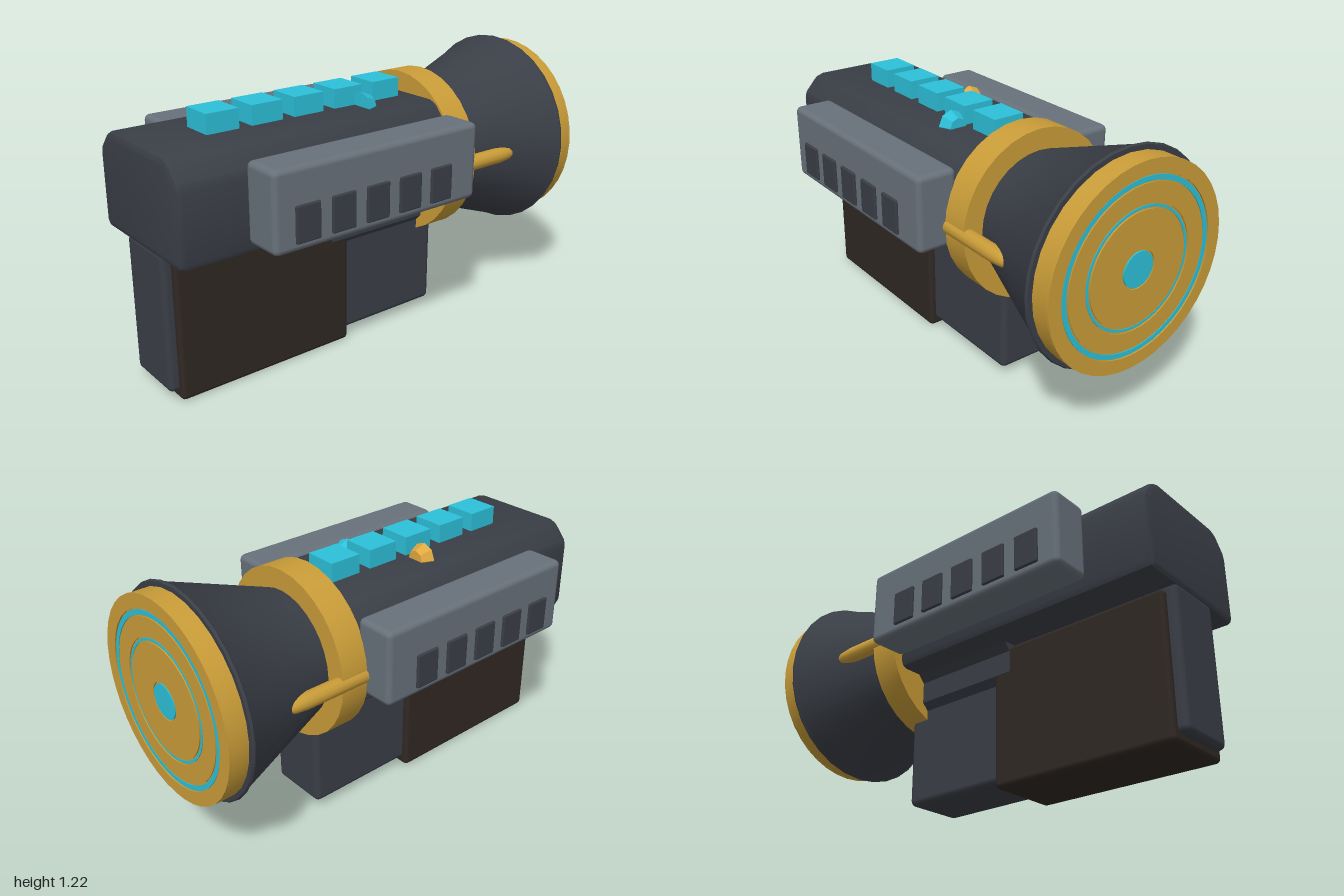
import * as THREE from 'three';
import { RoundedBoxGeometry } from 'three/addons/geometries/RoundedBoxGeometry.js';
import { toCreasedNormals } from 'three/addons/utils/BufferGeometryUtils.js';

const AXIS_Y = 0.76; // height of the barrel axis

export function createModel() {
  const model = new THREE.Group();
  model.name = 'blaster';
  const paint = (color) => new THREE.MeshStandardMaterial({ color });
  const dark = paint(0x3a3e46), grey = paint(0x68717a), gold = paint(0xc99c38);
  const cyan = paint(0x2dc0da), brown = paint(0x302824), amber = paint(0xe0a840);

  const add = (name, geometry, material, x = 0, y = 0, z = 0, parent = model) => {
    const mesh = new THREE.Mesh(geometry, material);
    mesh.name = name;
    mesh.position.set(x, y, z);
    parent.add(mesh);
    return mesh;
  };

  // Rounded box given by its extents
  const block = (name, material, [x0, x1], [y0, y1], [z0, z1], r, parent = model) =>
    add(name, new RoundedBoxGeometry(x1 - x0, y1 - y0, z1 - z0, 2, r), material,
      (x0 + x1) / 2, (y0 + y1) / 2, (z0 + z1) / 2, parent);

  // Half profile (x >= 0) mirrored and extruded along z, with bevelled ends
  const prism = (name, material, half, z0, z1, bevel) => {
    const mirrored = half.map(([x, y]) => [-x, y]).reverse();
    const shape = new THREE.Shape([...half, ...mirrored].map(([x, y]) => new THREE.Vector2(x, y)));
    const geometry = new THREE.ExtrudeGeometry(shape, {
      depth: z1 - z0 - 2 * bevel, bevelEnabled: bevel > 0,
      bevelThickness: bevel, bevelSize: bevel, bevelOffset: -bevel, bevelSegments: 2,
    });
    return add(name, toCreasedNormals(geometry, 0.6), material, 0, 0, z0 + bevel);
  };

  // Solid of revolution about the barrel axis; profile is [radius, z], running front to back
  const turned = (name, material, profile, segments = 32) => {
    const points = profile.map(([r, z]) => new THREE.Vector2(r, -z));
    const geometry = new THREE.LatheGeometry(points, segments);
    geometry.rotateX(-Math.PI / 2);
    return add(name, toCreasedNormals(geometry, 0.5), material, 0, AXIS_Y, 0);
  };
  const drum = (name, material, r, z0, z1) =>
    turned(name, material, [[0, z1], [r, z1], [r, z0], [0, z0]]);

  // Main body with chamfered shoulders
  prism('body', dark, [
    [0.28, 0.62], [0.3, 0.628], [0.31, 0.65], [0.31, 0.93], [0.302, 0.96],
    [0.25, 1.018], [0.235, 1.03], [0.205, 1.04],
  ], -0.38, 1, 0.025);

  // Handle core, grip cover and the flared rail above them
  block('handleCore', dark, [-0.14, 0.14], [0.035, 0.64], [-0.395, 0.995], 0.025);
  block('grip', brown, [-0.167, 0.167], [0, 0.61], [0.12, 0.955], 0.02);
  prism('underRail', dark, [
    [0.14, 0.46], [0.17, 0.49], [0.17, 0.585], [0.205, 0.625], [0.205, 0.66],
  ], -0.4, 0.21, 0);

  // Barrel collar, flared bell and end cap
  drum('collar', gold, 0.37, -0.43, -0.3);
  turned('bell', dark, [
    [0, -0.4], [0.28, -0.4], [0.28, -0.43], [0.445, -0.895], [0.455, -0.905], [0.45, -0.915], [0, -0.915],
  ]);
  drum('endCap', gold, 0.43, -0.993, -0.9);

  // Concentric rings on the end cap
  const ring = (name, material, inner, outer, depth) => turned(name, material, [
    [inner, -0.99], [outer, -0.99], [outer, -depth], [inner, -depth], [inner, -0.99],
  ], 40);
  ring('capRim', gold, 0.37, 0.43, 1);
  ring('outerGlowRing', cyan, 0.345, 0.366, 0.997);
  ring('capBand', gold, 0.26, 0.34, 0.998);
  ring('innerGlowRing', cyan, 0.243, 0.254, 0.996);
  ring('capCentre', gold, 0.08, 0.238, 0.999);
  drum('glowCentre', cyan, 0.074, -1, -0.98);

  for (const side of [1, -1]) {
    const label = side > 0 ? 'left' : 'right';

    // Side pod with a row of vents
    const pod = new THREE.Group();
    pod.name = label + 'Pod';
    model.add(pod);
    const span = (a, b) => (side > 0 ? [a, b] : [-b, -a]);
    block('podShell', grey, span(0.31, 0.493), [0.668, 1], [-0.305, 0.717], 0.025, pod);
    for (let i = 0; i < 5; i++) {
      const z = 0.57 - i * 0.1675;
      block('vent', dark, span(0.46, 0.504), [0.703, 0.853], [z - 0.056, z + 0.056], 0.006, pod);
    }

    // Tapered rod beside the bell
    const rod = new THREE.LatheGeometry([
      [0, 0], [0.035, 0], [0.035, 0.3], [0.029, 0.36], [0.016, 0.39], [0, 0.397],
    ].map(([r, y]) => new THREE.Vector2(r, y)), 12);
    rod.rotateX(-Math.PI / 2);
    add(label + 'Rod', rod, gold, side * 0.347, AXIS_Y, -0.298);
  }

  // Row of glowing blocks along the top
  for (let i = 0; i < 5; i++) {
    add('topBlock', new THREE.BoxGeometry(0.147, 0.1, 0.147), cyan, 0, 1.073, 0.66 - i * 0.205);
  }

  // Small faceted knobs on the top
  const knob = (name, material, x, z) => {
    const geometry = new THREE.CylinderGeometry(0.062, 0.04, 0.052, 8).toNonIndexed();
    geometry.rotateX(Math.PI / 2);
    geometry.computeVertexNormals();
    add(name, geometry, material, x, 1.043, z);
  };
  knob('cyanKnob', cyan, 0.115, -0.014);
  knob('amberKnob', amber, -0.135, 0.2);

  return model;
}
